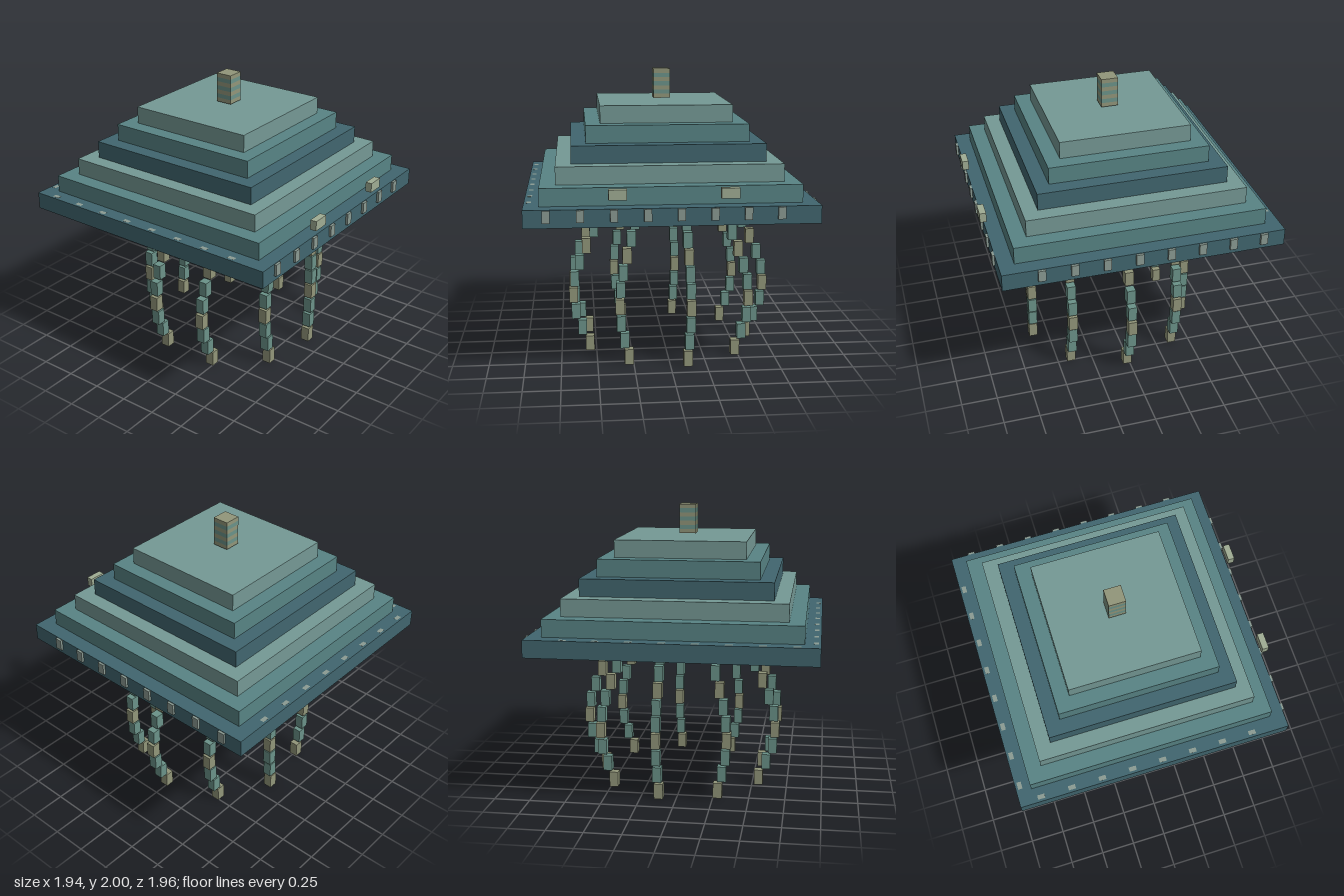
import * as THREE from 'three';

const material = (color) => new THREE.MeshStandardMaterial({ color });
const dark = material(0x41666f), mid = material(0x588485), pale = material(0x759995);
const teal = material(0x6b9389), tan = material(0x92967a);
const lamp = material(0x8b9b93), sage = material(0xa0ad94);

export function createModel() {
  const model = new THREE.Group();

  const box = (parent, name, mat, w, h, d, x, y, z) => {
    const mesh = new THREE.Mesh(new THREE.BoxGeometry(w, h, d), mat);
    mesh.name = name;
    mesh.position.set(x, y, z);
    parent.add(mesh);
  };
  const group = (name) => {
    const g = new THREE.Group();
    g.name = name;
    model.add(g);
    return g;
  };

  // Stepped canopy, widest tier at the bottom
  const cx = -0.012, cz = -0.016;
  const canopy = group('canopy');
  [1.92, 1.715, 1.505, 1.3, 1.1, 0.9].forEach((w, i) => {
    box(canopy, 'canopyTier', [dark, mid, pale][i % 3], w, 0.119, w, cx, 1.124 + i * 0.12, cz);
  });

  // Banded block floating just above the top tier
  const finial = group('finial');
  const bands = 7, bandHeight = 0.205 / bands;
  for (let i = 0; i < bands; i++) {
    box(finial, 'finialBand', i % 2 ? teal : tan, 0.117, bandHeight, 0.117,
      cx, 1.795 + (i + 0.5) * bandHeight, cz);
  }

  // Core block under the canopy
  box(model, 'core', sage, 0.36, 0.14, 0.36, cx, 1.015, -0.018);

  // Two eyes in front of the canopy
  for (const x of [-0.37, 0.348]) box(model, 'eye', sage, 0.118, 0.068, 0.045, x, 1.279, 0.957);

  // Rim lamps: proud of the front and left edges, sunk into the other two
  const lamps = group('rimLamps');
  for (let i = 0; i < 8; i++) {
    const t = -0.824 + i * 0.2158;
    box(lamps, 'frontLamp', lamp, 0.05, 0.08, 0.05, t, 1.14, 0.935);
    box(lamps, 'leftLamp', lamp, 0.05, 0.08, 0.05, 0.94, 1.14, t);
    box(lamps, 'backLamp', lamp, 0.05, 0.08, 0.03, t, 1.144, -0.945);
    box(lamps, 'rightLamp', lamp, 0.03, 0.08, 0.05, -0.94, 1.144, t);
  }

  // Nine hanging tentacles in a ring, each bowing along x
  const reach = [0.51, 0.562, 0.62, 0.672, 0.71, 0.721, 0.705, 0.657, 0.6];
  for (let k = 0; k < 9; k++) {
    const angle = (k / 9) * Math.PI * 2;
    const tentacle = group('tentacle');
    reach.forEach((r, i) => {
      box(tentacle, 'tentacleSegment', i % 3 === 2 ? tan : teal, 0.062, 0.108, 0.062,
        0.018 + r * Math.cos(angle), 1.014 - i * 0.12, 0.018 + 0.6 * Math.sin(angle));
    });
  }

  return model;
}
